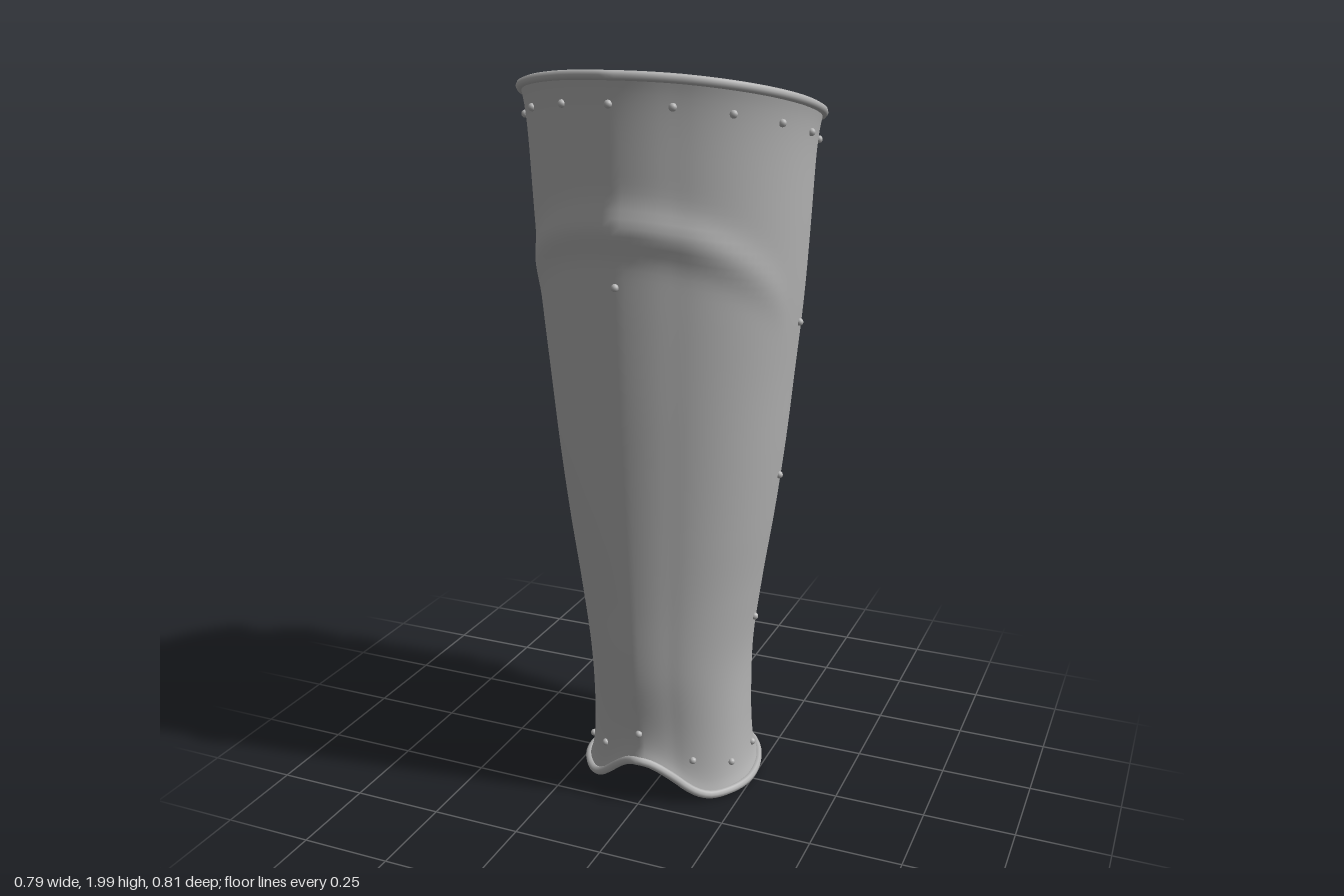
import * as THREE from 'three';

const steel = new THREE.MeshStandardMaterial({ color: 0xb3b3b3, side: THREE.DoubleSide });
steel.name = 'grey steel';

// Profiles sampled every 0.2 units of height, from y = 0 to y = 2
const HALF_WIDTH = [0.232, 0.224, 0.226, 0.25, 0.28, 0.305, 0.325, 0.345, 0.358, 0.367, 0.375];
const FRONT = [0.22, 0.235, 0.268, 0.288, 0.307, 0.325, 0.342, 0.355, 0.365, 0.376, 0.383];
const SEAM = [0.212, 0.207, 0.212, 0.228, 0.25, 0.27, 0.283, 0.288, 0.292, 0.295, 0.3];
const CALF = [0.24, 0.247, 0.265, 0.305, 0.345, 0.372, 0.383, 0.383, 0.372, 0.36, 0.355];

const END = THREE.MathUtils.degToRad(140); // angle of the back seams, from the front
const COS_END = Math.cos(END);

// Smooth lookup in a profile
function at(table, y) {
  const t = THREE.MathUtils.clamp(y / 0.2, 0, 10);
  const i = Math.min(9, Math.floor(t)), f = t - i;
  const p = (k) => table[THREE.MathUtils.clamp(k, 0, 10)];
  const m0 = (p(i + 1) - p(i - 1)) / 2, m1 = (p(i + 2) - p(i)) / 2;
  const f2 = f * f, f3 = f2 * f;
  return p(i) * (2 * f3 - 3 * f2 + 1) + m0 * (f3 - 2 * f2 + f) + p(i + 1) * (3 * f2 - 2 * f3) + m1 * (f3 - f2);
}

// Slanted top edge and arched ankle edge
const topY = (a) => 1.903 + 0.085 * Math.cos(a);
function bottomY(a) {
  if (Math.abs(a) > 1.2) return 0.018;
  const k = Math.min(1, Math.abs(0.24 * Math.sin(a)) / 0.19);
  return 0.018 + 0.06 * (1 + Math.cos(Math.PI * k));
}

// Point on the shin plate at angle a and height y, pushed out by "out"
function shell(a, y, out = 0) {
  const c = Math.cos(a), s = Math.sin(a), b = Math.abs(a);
  const ridge = 0.02 * Math.max(0, 1 - b / 0.4);
  const foldY = 1.63 - 0.12 * b * b;
  const fold = 0.018 * Math.exp(-(((y - foldY) / 0.05) ** 2)) * Math.max(0, 1 - (b / 1.4) ** 2);
  const flare = 0.016 * Math.exp(-(y - bottomY(a)) / 0.035) + 0.012 * Math.exp(-(topY(a) - y) / 0.05);
  const grow = out + fold + flare;
  const depth = c > 0 ? at(FRONT, y) - 0.02 + ridge : at(SEAM, y) / -COS_END;
  return new THREE.Vector3((at(HALF_WIDTH, y) + grow) * s, y, (depth + grow) * c);
}

// Point on the calf panel; a runs through the back (PI)
function calf(a, y, out = 0) {
  const c = Math.cos(a), seam = at(SEAM, y);
  const z = seam + (at(CALF, y) - seam) * (c - COS_END) / (-1 - COS_END);
  return new THREE.Vector3((at(HALF_WIDTH, y) - 0.008 + out) * Math.sin(a), y, -z + out * c);
}

// Smooth sheet from a function of u and v in 0..1
function sheet(name, fn, nu, nv) {
  const pos = [], index = [];
  for (let j = 0; j <= nv; j++) {
    for (let i = 0; i <= nu; i++) pos.push(...fn(i / nu, j / nv).toArray());
  }
  for (let j = 0; j < nv; j++) {
    for (let i = 0; i < nu; i++) {
      const p = j * (nu + 1) + i, q = p + nu + 1;
      index.push(p, p + 1, q + 1, p, q + 1, q);
    }
  }
  const geo = new THREE.BufferGeometry();
  geo.setAttribute('position', new THREE.Float32BufferAttribute(pos, 3));
  geo.setIndex(index);
  geo.computeVertexNormals();
  const mesh = new THREE.Mesh(geo, steel);
  mesh.name = name;
  return mesh;
}

const lerp = THREE.MathUtils.lerp;

export function createModel() {
  const model = new THREE.Group();
  model.name = 'shinGuard';

  // Main plate
  model.add(sheet('shinPlate', (u, v) => {
    const a = lerp(-END, END, u);
    return shell(a, lerp(bottomY(a), topY(a), v));
  }, 80, 90));

  // Rolled rim around the whole edge of the plate
  const edge = [];
  for (let i = 0; i < 48; i++) { const a = lerp(-END, END, i / 48); edge.push(shell(a, topY(a))); }
  for (let i = 0; i < 30; i++) edge.push(shell(END, lerp(topY(END), bottomY(END), i / 30)));
  for (let i = 0; i < 48; i++) { const a = lerp(END, -END, i / 48); edge.push(shell(a, bottomY(a))); }
  for (let i = 0; i < 30; i++) edge.push(shell(-END, lerp(bottomY(END), topY(END), i / 30)));
  const rim = new THREE.Mesh(
    new THREE.TubeGeometry(new THREE.CatmullRomCurve3(edge, true), 400, 0.0115, 8, true), steel);
  rim.name = 'rolledRim';
  model.add(rim);

  // Calf panel closing the back
  model.add(sheet('calfPanel', (u, v) =>
    calf(lerp(END - 0.06, 2 * Math.PI - END + 0.06, u), lerp(0.13, 1.78, v)), 24, 40));

  // Straps with buckles on the right seam
  const strapPoint = (a, y) => {
    const back = Math.PI - Math.abs(a - Math.PI);
    if (back > END) return calf(a, y, 0.02);
    return shell(a > Math.PI ? a - 2 * Math.PI : a, y, 0.013);
  };
  for (const y of [1.62, 1.03, 0.42]) {
    model.add(sheet('strap', (u, v) =>
      strapPoint(lerp(2.27, 2 * Math.PI - 2.27, u), y + lerp(-0.07, 0.07, v)), 32, 4));

    const buckle = new THREE.Group();
    buckle.name = 'buckle';
    const bar = (w, h, x, dy) => {
      const m = new THREE.Mesh(new THREE.BoxGeometry(w, h, 0.014), steel);
      m.position.set(x, dy, 0);
      m.name = 'buckleBar';
      buckle.add(m);
    };
    for (const s of [-1, 1]) {
      bar(0.115, 0.014, 0, s * 0.04);
      bar(0.014, 0.094, s * 0.0505, 0);
    }
    bar(0.012, 0.08, 0, 0);
    const a = THREE.MathUtils.degToRad(214);
    buckle.position.copy(strapPoint(a, y));
    buckle.position.x += 0.022 * Math.sin(a);
    buckle.position.z += 0.022 * Math.cos(a);
    buckle.rotation.y = a;
    model.add(buckle);
  }

  // Rivets
  const rivetGeo = new THREE.SphereGeometry(0.01, 10, 8);
  const rivet = (a, y) => {
    const m = new THREE.Mesh(rivetGeo, steel);
    m.name = 'rivet';
    m.position.copy(shell(a, y, 0.002));
    model.add(m);
  };
  rivet(0, topY(0) - 0.065);
  rivet(0, 1.49);
  rivet(0, 0.22);
  for (const s of [-1, 1]) {
    for (let i = 1; i <= 6; i++) rivet(s * i * 0.385, topY(i * 0.385) - 0.065);
    for (const y of [1.35, 0.925, 0.5]) rivet(s * 1.69, y);
    for (const y of [1.73, 1.68, 1.24, 0.6, 0.28]) rivet(s * 2.36, y);
    rivet(s * 0.62, 0.13);
    rivet(s * 1.18, 0.095);
    rivet(s * 1.78, 0.09);
  }
  return model;
}
